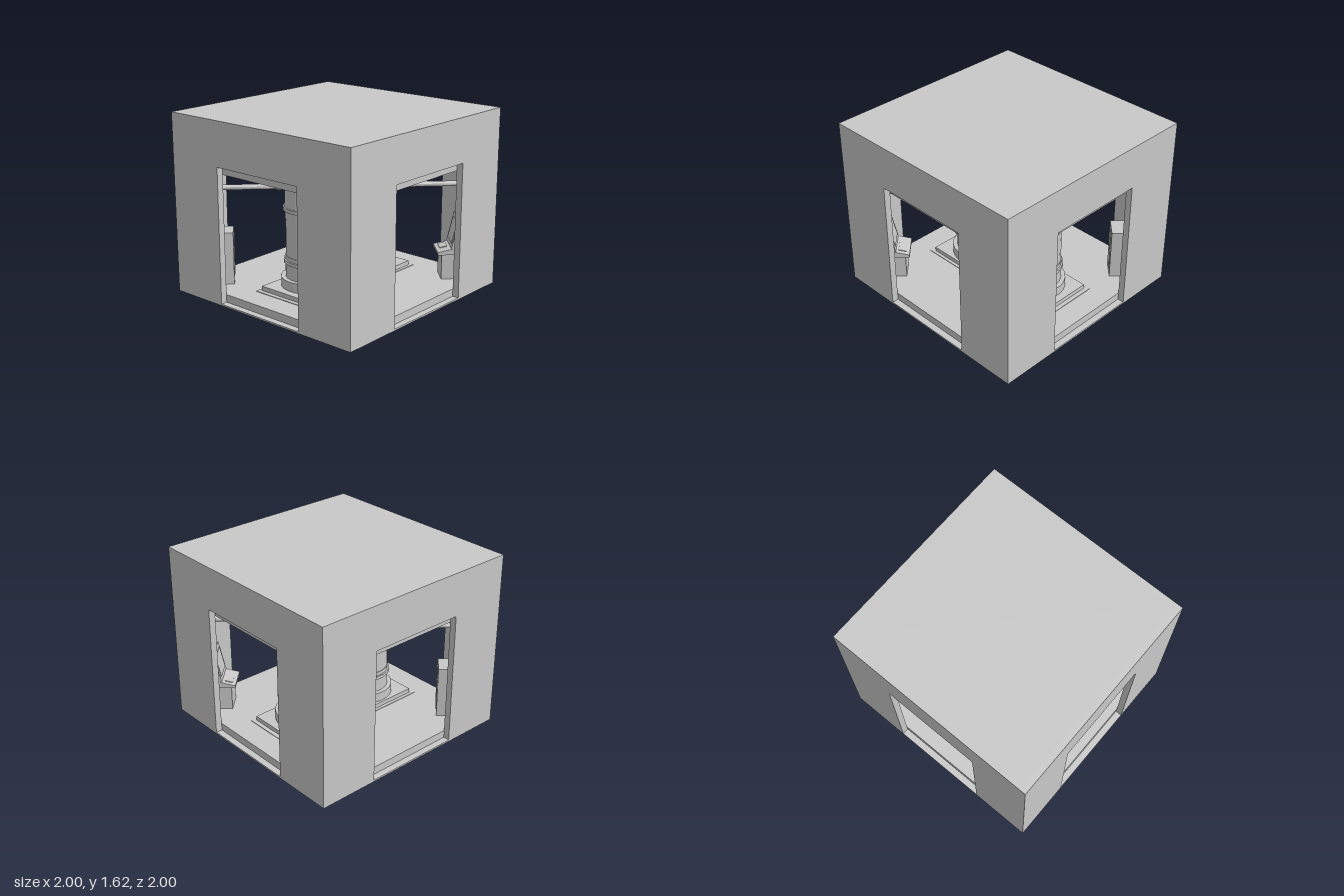
import * as THREE from 'three';

const grey = new THREE.MeshStandardMaterial({ color: 0xc8c8c8 });
grey.name = 'concreteGrey';

const H = 1.62, WALL = 0.06, INNER = 1 - WALL;

function mesh(name, geometry, parent, x = 0, y = 0, z = 0) {
  const m = new THREE.Mesh(geometry, grey);
  m.name = name;
  m.position.set(x, y, z);
  parent.add(m);
  return m;
}

// Box given by its width, depth and bottom and top heights
function slab(name, parent, w, d, y0, y1, x = 0, z = 0) {
  return mesh(name, new THREE.BoxGeometry(w, y1 - y0, d), parent, x, (y0 + y1) / 2, z);
}

function faceted(geometry) {
  const g = geometry.toNonIndexed();
  g.computeVertexNormals();
  return g;
}

// Straight round bar between two points
function bar(name, parent, a, b, radius) {
  const dir = b.clone().sub(a);
  const g = faceted(new THREE.CylinderGeometry(radius, radius, dir.length(), 12));
  const m = mesh(name, g, parent);
  m.position.copy(a).add(b).multiplyScalar(0.5);
  m.quaternion.setFromUnitVectors(new THREE.Vector3(0, 1, 0), dir.normalize());
  return m;
}

// Wall with a doorway, outer side facing +z
function wallGeometry() {
  const s = new THREE.Shape();
  s.moveTo(-1, 0).lineTo(1, 0).lineTo(1, H).lineTo(-1, H).closePath();
  const door = new THREE.Path();
  door.moveTo(-0.45, 0.015).lineTo(-0.45, 1.225).lineTo(0.45, 1.225).lineTo(0.45, 0.015).closePath();
  s.holes.push(door);
  return new THREE.ExtrudeGeometry(s, { depth: WALL, bevelEnabled: false }).translate(0, 0, INNER);
}

function buildRoom(root) {
  const g = wallGeometry();
  for (let i = 0; i < 4; i++) mesh('wall', g, root).rotation.y = i * Math.PI / 2;
  slab('roof', root, 2, 2, H - 0.01, H);
  slab('ceiling', root, 2 * INNER, 2 * INNER, 1.15, H - 0.01);
  slab('base', root, 2, 2, 0, 0.01);
  slab('floor', root, 2 * INNER, 2 * INNER, 0.01, 0.085);
  slab('floorMarking', root, 1.44, 0.62, 0.085, 0.09);
  slab('plinth', root, 1.36, 0.56, 0.085, 0.13);
}

// Banded tank with foot, rings and top flange
function tankGeometry() {
  const steps = [
    [0.26, 0.13, 0.215], [0.22, 0.215, 0.345], [0.235, 0.345, 0.375],
    [0.22, 0.375, 0.41], [0.215, 0.41, 0.74], [0.22, 0.74, 0.815],
    [0.235, 0.815, 0.845], [0.222, 0.845, 1.02], [0.235, 1.02, 1.05],
    [0.225, 1.05, 1.115], [0.265, 1.115, 1.15],
  ];
  const pts = [];
  for (const [r, y0, y1] of steps) pts.push(new THREE.Vector2(r, y0), new THREE.Vector2(r, y1));
  return faceted(new THREE.LatheGeometry(pts, 24, Math.PI / 24));
}

// Pipe leaving the tank and bending towards a room corner
function buildPipe(root, sx, sz) {
  const y = 0.945;
  const at = (x, z) => new THREE.Vector3(sx * x, y, sz * z);
  const pipe = new THREE.Group();
  pipe.name = 'pipe';
  root.add(pipe);
  bar('pipeFlange', pipe, at(0.345, 0.2), at(0.345, 0.235), 0.037);
  bar('pipeStub', pipe, at(0.345, 0.2), at(0.345, 0.35), 0.024);
  mesh('pipeElbow', faceted(new THREE.IcosahedronGeometry(0.033, 1)), pipe, sx * 0.345, y, sz * 0.35);
  bar('pipeCollar', pipe, at(0.345, 0.35), at(0.375, 0.38), 0.031);
  bar('pipeRun', pipe, at(0.345, 0.35), at(0.95, 0.955), 0.024);
}

// Ceiling lamp with bevelled lower edge
function lampGeometry() {
  const s = new THREE.Shape();
  s.moveTo(-0.048, 0).lineTo(-0.04, -0.013).lineTo(-0.02, -0.02).lineTo(0.02, -0.02)
    .lineTo(0.04, -0.013).lineTo(0.048, 0).closePath();
  return new THREE.ExtrudeGeometry(s, { depth: 0.48, bevelEnabled: false })
    .translate(0, 0, -0.24).rotateY(Math.PI / 2);
}

// Solid with a side profile of [outward, height] points, local +z facing the room centre
function profiled(name, parent, points, width) {
  const s = new THREE.Shape(points.map(([u, y]) => new THREE.Vector2(u, y)));
  const g = new THREE.ExtrudeGeometry(s, { depth: width, bevelEnabled: false })
    .translate(0, 0, -width / 2).rotateY(Math.PI / 2);
  return mesh(name, g, parent);
}

// Group turned so that local -z points to the corner (sx, sz)
function cornerGroup(name, root, sx, sz) {
  const g = new THREE.Group();
  g.name = name;
  g.rotation.y = Math.atan2(-sx, -sz);
  root.add(g);
  return g;
}

function buildCabinet(root, sx, sz) {
  const g = cornerGroup('cabinet', root, sx, sz);
  slab('cabinetBody', g, 0.2, 0.25, 0.085, 0.56, 0, -1.045);
  slab('cabinetDisplay', g, 0.13, 0.008, 0.4, 0.51, 0, -0.919);
  slab('cabinetHatch', g, 0.13, 0.008, 0.15, 0.35, 0, -0.919);
  for (const x of [-0.04, 0, 0.04]) slab('cabinetKey', g, 0.024, 0.012, 0.365, 0.385, x, -0.918);
}

function buildDesk(root, sx, sz) {
  const g = cornerGroup('desk', root, sx, sz);
  slab('deskBody', g, 0.2, 0.22, 0.085, 0.345, 0, -1.03);
  profiled('deskTop', g, [[0.88, 0.32], [1.14, 0.32], [1.14, 0.4], [1.01, 0.375], [0.88, 0.345]], 0.26);
  profiled('screen', g, [[1.0, 0.38], [1.03, 0.375], [1.09, 0.64], [1.06, 0.65]], 0.26);
  // Raised panels on the desk top and screen
  const keys = slab('keypad', g, 0.12, 0.07, -0.004, 0.004, -0.03, -0.945);
  keys.position.y = 0.363;
  keys.rotation.x = Math.atan2(0.03, 0.13);
  const glass = slab('screenFace', g, 0.2, 0.008, -0.1, 0.1, 0, -1.029);
  glass.position.y = 0.515;
  glass.rotation.x = -Math.atan2(0.06, 0.27);
  slab('deskBack', g, 0.12, 0.06, 0.34, 0.5, 0, -1.09);
}

export function createModel() {
  const root = new THREE.Group();
  root.name = 'machineRoom';
  buildRoom(root);
  const tank = tankGeometry(), lamp = lampGeometry();
  for (const sx of [-1, 1]) {
    mesh('tank', tank, root, sx * 0.355, 0, 0);
    for (const sz of [-1, 1]) {
      buildPipe(root, sx, sz);
      mesh('ceilingLamp', lamp, root, sx * 0.56, 1.15, sz * 0.4);
    }
    buildCabinet(root, sx, -1);
    buildDesk(root, sx, 1);
  }
  return root;
}
